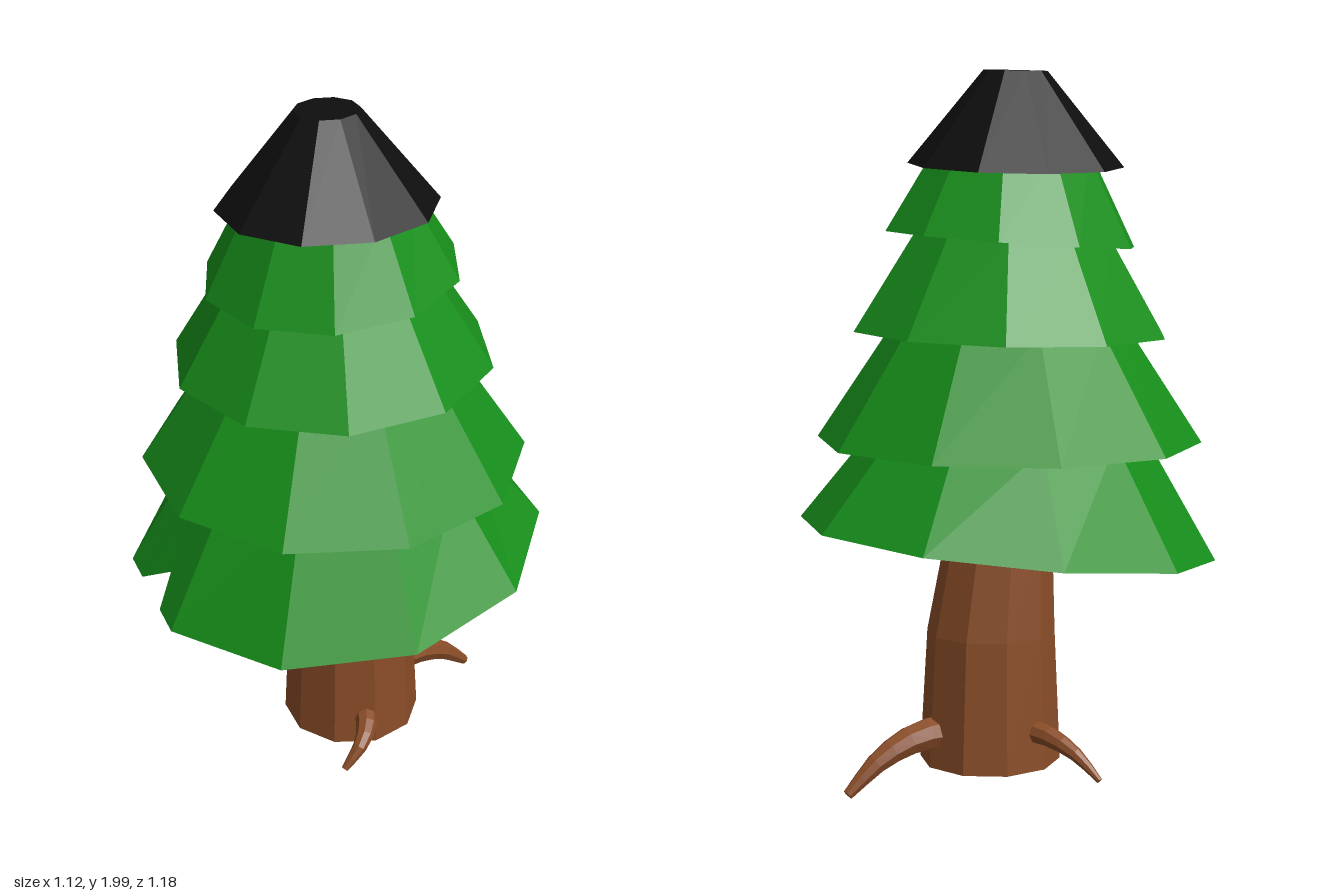
import * as THREE from 'three';

const GREEN = 0x178f1b, BROWN = 0x8a4d28, BLACK = 0x0e0e0e;
const SIDES = 10;
const STEP = 360 / SIDES;
const rad = THREE.MathUtils.degToRad;
const V = (x, y, z) => new THREE.Vector3(x, y, z);

// Skin a list of equally long rings with flat-shaded faces
function loft(name, color, rings) {
  const pos = [];
  const area = new THREE.Triangle();
  const tri = (a, b, c) => {
    if (area.set(a, b, c).getArea() > 1e-8) pos.push(...a, ...b, ...c);
  };
  for (let j = 0; j < rings.length - 1; j++) {
    const p = rings[j], q = rings[j + 1];
    for (let i = 0; i < p.length; i++) {
      const k = (i + 1) % p.length;
      tri(p[i], p[k], q[k]);
      tri(p[i], q[k], q[i]);
    }
  }
  const geo = new THREE.BufferGeometry();
  geo.setAttribute('position', new THREE.Float32BufferAttribute(pos, 3));
  geo.computeVertexNormals();
  const mesh = new THREE.Mesh(geo, new THREE.MeshStandardMaterial({ color, flatShading: true }));
  mesh.name = name;
  return mesh;
}

// Corner angles of the ten-sided outline, measured from +z towards +x
const corners = (rot = 0) => Array.from({ length: SIDES }, (_, i) => rot + i * STEP);

// Ring on a ten-sided outline; sx and sz tilt it
function ring({ x = 0, y, z = 0, r, rot = 0, sx = 0, sz = 0 }, angles = corners(rot)) {
  return angles.map((a) => {
    const local = ((((a - rot) % STEP) + STEP) % STEP) - STEP / 2;
    const d = r * Math.cos(rad(STEP / 2)) / Math.cos(rad(local));
    const dx = d * Math.sin(rad(a)), dz = d * Math.cos(rad(a));
    return V(x + dx, y + sx * dx + sz * dz, z + dz);
  });
}

const centre = (r) => {
  const c = r.reduce((s, p) => s.add(p), V(0, 0, 0)).divideScalar(r.length);
  return r.map(() => c);
};

// Closed frustum through the given rings
function solid(name, color, specs) {
  const rings = specs.map((s) => ring(s));
  return loft(name, color, [centre(rings[0]), ...rings, centre(rings.at(-1))]);
}

// Hollow lowest tier with a V notch cut through its front
function bottomTier() {
  const notch = 333 + 8.8;
  const angles = [...corners(), 333.2, notch, 349.8].sort((a, b) => a - b);
  const n = angles.indexOf(notch);
  const rim = { y: 0.69, r: 0.588, sz: -0.119 };
  const outer = ring(rim, angles);
  const top = ring({ y: 1.0, r: 0.38 }, angles);
  const inner = ring({ ...rim, r: 0.42, sz: -0.14 }, angles);
  const ceiling = ring({ y: 0.87, r: 0.28 }, angles);
  outer[n].lerp(top[n], 0.54);
  inner[n].lerp(ceiling[n], 0.72);
  return loft('bottomTier', GREEN, [centre(ceiling), ceiling, inner, outer, top, centre(top)]);
}

// Tapered curved root with a blunt tip
function root(name, points, r0, r1) {
  const curve = new THREE.CatmullRomCurve3(points.map((p) => V(...p)));
  const steps = 6, sides = 8;
  const { normals, binormals } = curve.computeFrenetFrames(steps);
  const rings = [];
  for (let j = 0; j <= steps; j++) {
    const t = j / steps;
    const c = curve.getPointAt(t);
    const r = THREE.MathUtils.lerp(r0, r1, t ** 1.3);
    rings.push(Array.from({ length: sides }, (_, i) => {
      const a = (i / sides) * Math.PI * 2;
      return c.clone()
        .addScaledVector(normals[j], r * Math.cos(a))
        .addScaledVector(binormals[j], r * Math.sin(a));
    }));
  }
  return loft(name, BROWN, [centre(rings[0]), ...rings, centre(rings.at(-1))]);
}

export function createModel() {
  const tree = new THREE.Group();
  tree.name = 'pineTree';

  // Trunk, leaning forward as it rises
  tree.add(solid('trunk', BROWN, [
    { x: 0.005, y: 0.06, z: -0.055, r: 0.2 },
    { x: 0.007, y: 0.43, z: -0.05, r: 0.181 },
    { x: 0.005, y: 0.72, z: -0.022, r: 0.149 },
    { x: 0.0, y: 0.95, z: 0, r: 0.13 },
  ]));

  // Roots
  tree.add(root('rightRoot',
    [[-0.12, 0.165, -0.02], [-0.21, 0.165, 0], [-0.31, 0.13, 0.03], [-0.378, 0.07, 0.06]], 0.036, 0.008));
  tree.add(root('leftRoot',
    [[0.13, 0.15, 0.0], [0.19, 0.14, 0.04], [0.228, 0.115, 0.09], [0.228, 0.05, 0.155]], 0.037, 0.01));
  tree.add(root('backRoot',
    [[0.01, 0.155, -0.2], [0.015, 0.15, -0.29], [0.02, 0.105, -0.4], [0.025, 0.018, -0.505]], 0.05, 0.015));

  // Foliage tiers, widest at the bottom
  tree.add(bottomTier());
  tree.add(solid('secondTier', GREEN, [
    { x: -0.008, y: 0.975, r: 0.54, sz: -0.01 },
    { x: -0.01, y: 1.3, r: 0.325 },
  ]));
  tree.add(solid('thirdTier', GREEN, [
    { x: -0.012, y: 1.28, z: 0.003, r: 0.446, rot: 20, sx: 0.012, sz: -0.018 },
    { x: -0.014, y: 1.55, z: 0.005, r: 0.28, rot: 20 },
  ]));
  tree.add(solid('fourthTier', GREEN, [
    { x: -0.01, y: 1.535, z: 0.008, r: 0.353, rot: 16, sx: 0.02, sz: -0.07 },
    { x: -0.01, y: 1.77, z: 0.01, r: 0.225, rot: 16 },
  ]));

  // Dark cap
  tree.add(solid('cap', BLACK, [
    { x: -0.005, y: 1.738, z: 0.025, r: 0.3, rot: 2, sx: 0.06, sz: 0.015 },
    { x: -0.02, y: 1.996, z: 0.015, r: 0.088, rot: 2, sx: 0.04 },
  ]));

  return tree;
}
